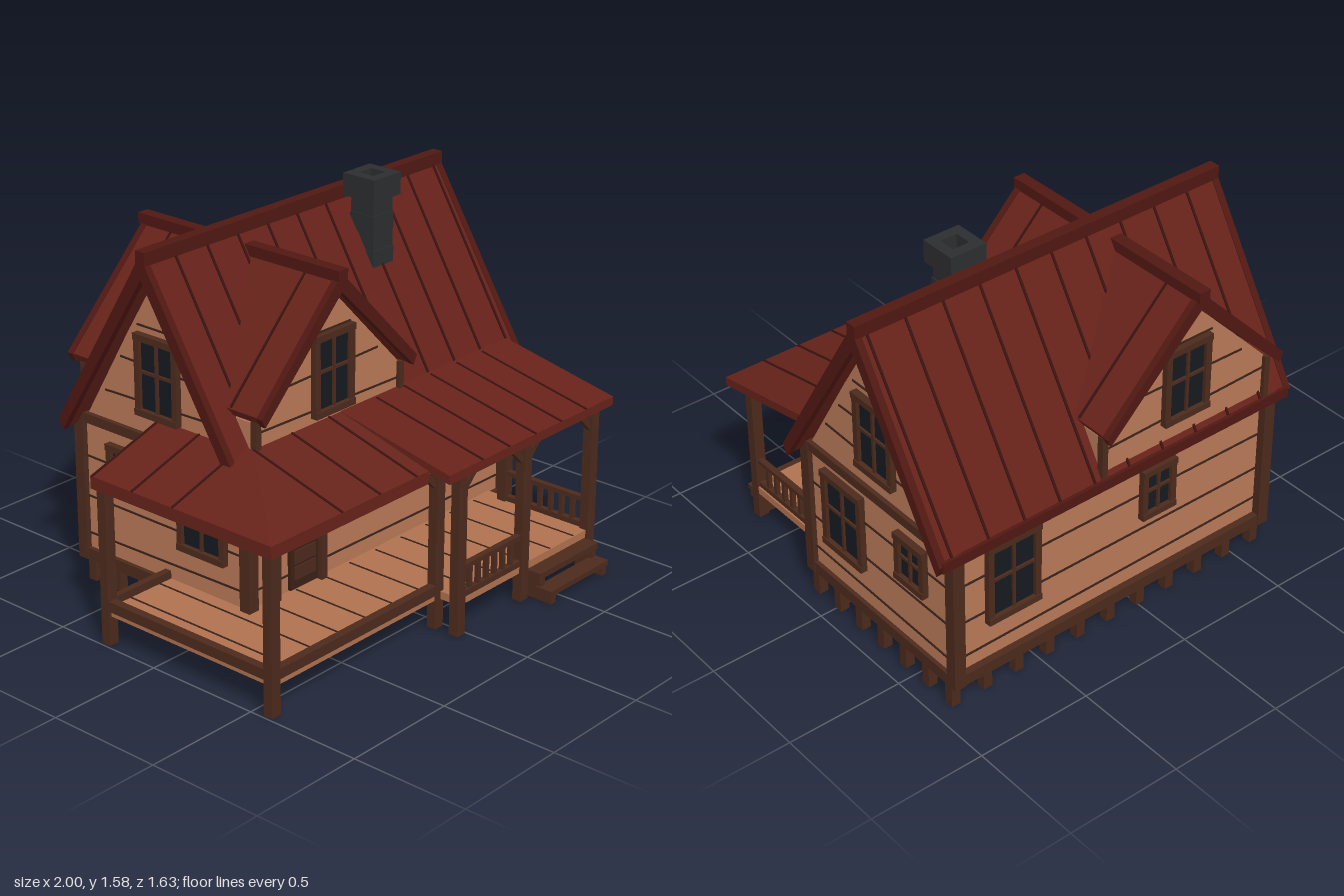
import * as THREE from 'three';

const material = (color) => new THREE.MeshStandardMaterial({ color, flatShading: true });

export function createModel() {
  const model = new THREE.Group();
  const wall = material(0xb97858), trim = material(0x4c2a1c), roofRed = material(0x66221a);
  const darkRed = material(0x501812), groove = material(0x38221a), glass = material(0x151a20);
  const stone = material(0x2c2d2f), plank = material(0xb0714f);
  const doorWood = material(0x3a2015), seamRed = material(0x3a120e);

  const add = (name, geometry, mat, parent = model) => {
    const mesh = new THREE.Mesh(geometry, mat);
    mesh.name = name;
    parent.add(mesh);
    return mesh;
  };
  // Box given by its lower and upper limits on each axis
  const box = (name, mat, x0, x1, y0, y1, z0, z1, parent) => {
    const m = add(name, new THREE.BoxGeometry(x1 - x0, y1 - y0, z1 - z0), mat, parent);
    m.position.set((x0 + x1) / 2, (y0 + y1) / 2, (z0 + z1) / 2);
    return m;
  };
  // Bar of section w by h running from a to b
  const beam = (name, mat, a, b, w, h, parent) => {
    const p = new THREE.Vector3(...a), q = new THREE.Vector3(...b);
    const m = add(name, new THREE.BoxGeometry(w, h, p.distanceTo(q)), mat, parent);
    m.position.copy(p).add(q).multiplyScalar(0.5);
    m.lookAt(q);
    return m;
  };
  const extrude = (pts, depth) => new THREE.ExtrudeGeometry(
    new THREE.Shape(pts.map((p) => new THREE.Vector2(...p))), { depth, bevelEnabled: false });
  const gablePts = (half, y0, y1, apex) => [[-half, y0], [half, y0], [half, y1], [0, apex], [-half, y1]];
  // Inverted V of a pitched roof; o widens it for the end boards
  const chevronPts = (half, apex, slope, t, o = 0) => {
    const h = half + o, a = apex + o, e = a - slope * h;
    return [[-h, e], [-h + 0.02, e - t * 0.5 - o], [0, a - t - o * 2], [h - 0.02, e - t * 0.5 - o], [h, e], [0, a]];
  };

  // House body and main roof, both extruded along x
  const CZ = -0.285;
  const alongX = (name, pts, x0, x1, mat) => {
    const g = extrude(pts, x1 - x0).rotateY(Math.PI / 2);
    add(name, g, mat).position.set(x0, 0, CZ);
  };
  alongX('houseWalls', gablePts(0.44, 0.12, 0.69, 1.43), -0.64, 0.91, wall);
  box('houseFloor', trim, -0.64, 0.91, 0.1, 0.125, -0.725, 0.155);
  alongX('mainRoof', chevronPts(0.475, 1.5, 1.62, 0.085), -0.72, 0.98, roofRed);
  for (const [x0, x1] of [[-0.735, -0.705], [0.965, 0.995]])
    alongX('gableBoard', chevronPts(0.475, 1.5, 1.62, 0.085, 0.006), x0, x1, darkRed);
  box('ridgeCap', darkRed, -0.735, 0.995, 1.465, 1.52, CZ - 0.024, CZ + 0.024);
  for (const s of [-1, 1]) {
    box('eaveBoard', darkRed, -0.72, 0.98, 0.695, 0.74, CZ + s * 0.472 - 0.012, CZ + s * 0.472 + 0.012);
    for (let i = 0; i < 10; i++) {
      const x = -0.58 + i * 0.168;
      beam('roofSeam', seamRed, [x, 0.74, CZ + s * 0.471], [x + 0.01, 1.495, CZ + s * 0.004], 0.01, 0.008);
    }
  }

  // Cross gable with a dormer at front and back
  const DX = -0.195;
  const alongZ = (name, pts, z0, z1, mat) => add(name, extrude(pts, z1 - z0), mat).position.set(DX, 0, z0);
  alongZ('dormerWalls', gablePts(0.415, 0.7, 0.92, 1.345), -0.742, 0.168, wall);
  alongZ('dormerRoof', chevronPts(0.44, 1.41, 1.02, 0.065), -0.795, 0.225, roofRed);
  for (const z of [-0.805, 0.205])
    alongZ('dormerGableBoard', chevronPts(0.44, 1.41, 1.02, 0.065, 0.005), z, z + 0.028, darkRed);
  box('dormerRidgeCap', darkRed, DX - 0.026, DX + 0.026, 1.385, 1.43, -0.82, 0.24);
  for (const s of [-1, 1]) {
    for (const z of [0.07, -0.64])
      beam('dormerSeam', seamRed, [DX + s * 0.438, 0.966, z], [DX, 1.41, z], 0.008, 0.01);
    for (const z of [-0.744, 0.17])
      box('dormerPost', trim, DX + s * 0.41 - 0.013, DX + s * 0.41 + 0.013, 0.74, 0.93, z - 0.015, z + 0.015);
  }

  // Frame timbers: corner posts, sill and gable belt
  for (const x of [-0.637, 0.905]) {
    for (const z of [0.155, -0.735])
      box('cornerPost', trim, x - 0.026, x + 0.026, 0.1, 0.74, z - 0.025, z + 0.025);
    box('sideSill', trim, x - 0.022, x + 0.022, 0.1, 0.15, -0.755, 0.175);
    box('gableBelt', trim, x - 0.024, x + 0.024, 0.7, 0.74, -0.745, 0.165);
  }
  for (const z of [0.155, -0.735]) box('longSill', trim, -0.64, 0.91, 0.1, 0.15, z - 0.02, z + 0.02);

  // Board joints on all walls, slightly crooked
  const tilt = (i) => 0.008 * Math.sin(i * 2.3 + 1);
  [0.22, 0.375, 0.545, 0.87, 1.02, 1.18].forEach((y, i) => {
    const d = tilt(i);
    const halfZ = y < 0.7 ? 0.43 : (1.38 - y) / 1.65;
    for (const x of [-0.641, 0.911])
      beam('wallJoint', groove, [x, y - d, CZ - halfZ], [x, y + d, CZ + halfZ], 0.008, 0.007);
    const upper = y > 0.7, half = upper ? Math.min(0.4, 1.3 - y) : 0.76;
    const cx = upper ? DX : 0.135;
    for (const z of upper ? [0.169, -0.743] : [0.156, -0.726])
      beam('wallJoint', groove, [cx - half, y + d, z], [cx + half, y - d, z], 0.008, 0.007);
  });

  // Windows: glass, frame and crossing bars, facing +z before turning
  const addWindow = (w, h, x, y, z, turn) => {
    const g = new THREE.Group();
    g.name = 'window';
    g.position.set(x, y, z);
    g.rotation.y = turn;
    model.add(g);
    const a = w / 2, b = h / 2, f = 0.027;
    box('glass', glass, -a + 0.01, a - 0.01, -b + 0.01, b - 0.01, -0.01, 0.01, g);
    for (const s of [-1, 1]) {
      const u = s * (a - f / 2), v = s * (b - f / 2);
      box('windowJamb', trim, u - f / 2, u + f / 2, -b + 0.01, b - 0.01, -0.015, 0.025, g);
      box('windowRail', trim, -a, a, v - f / 2, v + f / 2, -0.015, 0.03, g);
    }
    box('uprightBar', trim, -0.006, 0.006, -b + f, b - f, 0, 0.02, g);
    box('crossBar', trim, -a + f, a - f, h * 0.04 - 0.006, h * 0.04 + 0.006, 0, 0.019, g);
  };
  for (const [z, dz, turn] of [[0.155, 0.168, 0], [-0.725, -0.742, Math.PI]]) {
    addWindow(0.25, 0.36, 0.635, 0.5, z, turn);
    addWindow(0.17, 0.23, -0.075, 0.545, z, turn);
    addWindow(0.225, 0.335, -0.185, 1.01, dz, turn);
  }
  for (const [x, turn] of [[0.91, Math.PI / 2], [-0.64, -Math.PI / 2]]) {
    addWindow(0.25, 0.35, x, 0.485, -0.075, turn);
    addWindow(0.175, 0.215, x, 0.537, -0.495, turn);
    addWindow(0.225, 0.335, x, 0.985, -0.295, turn);
  }

  // Door with planks and frame
  box('door', doorWood, -0.42, -0.26, 0.16, 0.625, 0.14, 0.17);
  for (let i = 0; i < 6; i++) box('doorBoard', trim, -0.4, -0.28, 0.2 + i * 0.068, 0.255 + i * 0.068, 0.165, 0.176);
  for (const x of [-0.51, -0.245]) box('doorJamb', trim, x - 0.016, x + 0.016, 0.15, 0.66, 0.14, 0.19);
  box('doorLintel', trim, -0.53, -0.225, 0.625, 0.66, 0.14, 0.188);

  // Short stilts round the house
  const stilt = (x, z) => box('stilt', trim, x - 0.02, x + 0.02, 0, 0.12, z - 0.02, z + 0.02);
  for (let i = 0; i <= 10; i++) for (const z of [0.13, -0.71]) stilt(-0.62 + i * 0.1525, z);
  for (let i = 1; i < 6; i++) for (const x of [-0.62, 0.905]) stilt(x, 0.13 - i * 0.14);

  // Wrap-around porch deck
  box('porchDeck', plank, -0.975, -0.03, 0.122, 0.155, 0.15, 0.59);
  box('porchDeck', plank, -0.975, -0.64, 0.122, 0.155, -0.285, 0.15);
  box('porchDeck', plank, -0.03, 0.83, 0.122, 0.155, 0.15, 0.69);
  for (let i = 0; i < 11; i++) {
    const x = -0.86 + i * 0.157, z1 = x < -0.03 ? 0.585 : 0.685;
    box('deckJoint', groove, x - 0.004, x + 0.004, 0.12, 0.157, x < -0.64 ? -0.28 : 0.17, z1);
  }
  box('deckEdge', trim, -0.965, -0.03, 0.145, 0.188, 0.56, 0.595);
  box('deckEdge', trim, -0.985, -0.95, 0.145, 0.188, -0.27, 0.58);
  box('deckEdge', trim, -0.965, -0.64, 0.145, 0.188, -0.29, -0.26);

  // Porch roof panels: a planar outline seen from above with thickness t
  const panel = (pts, t) => {
    const out = [], n = pts.length;
    const low = pts.map(([x, y, z]) => [x, y - t, z]);
    for (let i = 1; i < n - 1; i++) {
      out.push(...pts[0], ...pts[i], ...pts[i + 1]);
      out.push(...low[0], ...low[i + 1], ...low[i]);
    }
    for (let i = 0; i < n; i++) {
      const j = (i + 1) % n;
      out.push(...low[i], ...low[j], ...pts[j], ...low[i], ...pts[j], ...pts[i]);
    }
    const g = new THREE.BufferGeometry();
    g.setAttribute('position', new THREE.Float32BufferAttribute(out, 3));
    g.computeVertexNormals();
    add('porchRoof', g, roofRed);
  };
  panel([[-0.13, 0.71, 0.71], [0.91, 0.71, 0.71], [0.91, 0.822, 0.165], [-0.13, 0.822, 0.165]], 0.037);
  panel([[-1, 0.7, 0.61], [-0.13, 0.7, 0.61], [-0.13, 0.82, 0.17], [-0.62, 0.82, 0.17]], 0.052);
  panel([[-1, 0.7, -0.31], [-1, 0.7, 0.61], [-0.62, 0.82, 0.17], [-0.62, 0.82, -0.31]], 0.052);
  for (let i = 0; i < 6; i++) {
    const x = 0.07 + i * 0.165, u = -0.62 + i * 0.21;
    if (i < 5) beam('porchSeam', seamRed, [x, 0.71, 0.71], [x, 0.818, 0.18], 0.009, 0.008);
    if (i < 3) beam('porchSeam', seamRed, [u, 0.7, 0.61], [u, 0.82, 0.17], 0.009, 0.008);
    if (i < 3) beam('porchSeam', seamRed, [-1, 0.7, 0.12 - i * 0.21], [-0.62, 0.82, 0.12 - i * 0.21], 0.009, 0.008);
  }

  // Porch posts, with braces towards the listed x and z directions
  const posts = [
    [-0.965, 0.575, []], [-0.965, -0.27, []], [-0.035, 0.575, [[-1, 0]]],
    [-0.03, 0.68, [[1, 0]]], [0.37, 0.68, [[-1, 0], [1, 0]]],
    [0.81, 0.68, [[-1, 0], [0, -1]]], [0.81, 0.255, [[0, 1]]],
  ];
  for (const [x, z, braces] of posts) {
    box('porchPost', trim, x - 0.023, x + 0.023, 0, z > 0.6 ? 0.69 : 0.68, z - 0.021, z + 0.021);
    for (const [dx, dz] of braces)
      beam('postBrace', trim, [x, 0.59, z], [x + dx * 0.09, 0.68, z + dz * 0.09], 0.024, 0.024);
  }
  box('porchBeam', trim, -0.05, 0.83, 0.66, 0.685, 0.665, 0.695);

  // Railings with balusters
  const railing = (a, b, count) => {
    const at = (t, y) => [a[0] + (b[0] - a[0]) * t, y, a[1] + (b[1] - a[1]) * t];
    beam('handRail', trim, at(0, 0.28), at(1, 0.28), 0.026, 0.02);
    beam('footRail', trim, at(0, 0.165), at(1, 0.165), 0.026, 0.025);
    for (let i = 1; i <= count; i++) {
      const [x, , z] = at(i / (count + 1), 0);
      box('baluster', trim, x - 0.009, x + 0.009, 0.16, 0.275, z - 0.009, z + 0.009);
    }
  };
  railing([-0.01, 0.68], [0.35, 0.68], 6);
  railing([0.81, 0.275], [0.81, 0.66], 6);

  // Front steps
  box('upperTread', trim, 0.4, 0.785, 0.095, 0.12, 0.67, 0.755);
  box('lowerTread', trim, 0.4, 0.785, 0.038, 0.06, 0.735, 0.81);
  for (const x of [0.425, 0.765]) {
    box('stepSide', trim, x - 0.015, x + 0.015, 0, 0.11, 0.67, 0.75);
    box('stepSide', trim, x - 0.015, x + 0.015, 0, 0.05, 0.75, 0.805);
  }

  // Hollow chimney made of stacked courses, each a square ring
  const ring = (name, half, y0, y1) => {
    const square = (r) => [[-r, -r], [r, -r], [r, r], [-r, r]].map((p) => new THREE.Vector2(...p));
    const shape = new THREE.Shape(square(half));
    shape.holes.push(new THREE.Path(square(0.037)));
    const g = new THREE.ExtrudeGeometry(shape, { depth: y1 - y0, bevelEnabled: false }).rotateX(-Math.PI / 2);
    add(name, g, stone).position.set(0.437, y0, -0.165);
  };
  [0.062, 0.059, 0.062, 0.058].forEach((half, i) => ring('chimneyCourse', half, 1.2 + i * 0.073, 1.273 + i * 0.073));
  ring('chimneyCap', 0.081, 1.485, 1.578);

  return model;
}
